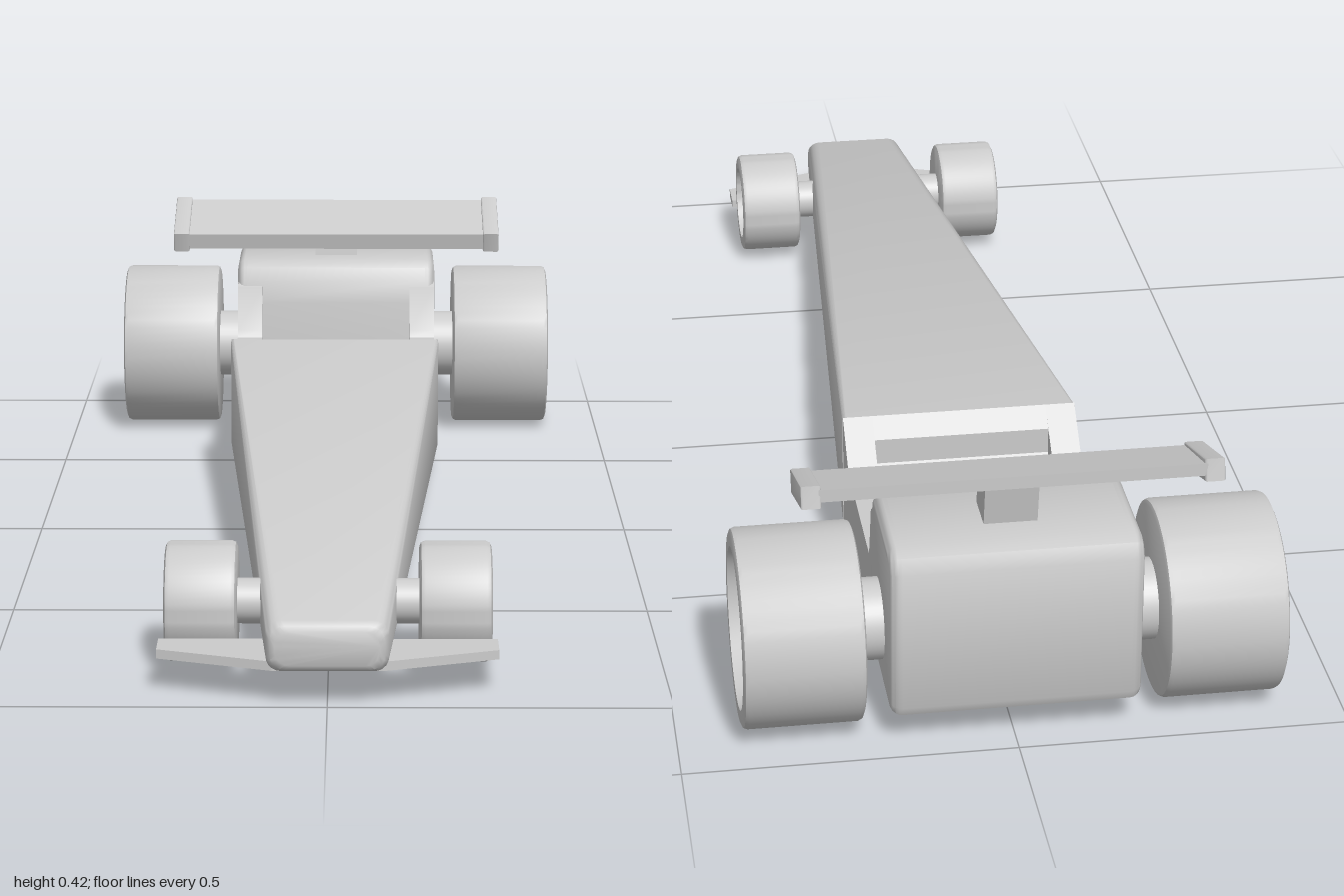
import * as THREE from 'three';
import { toCreasedNormals } from 'three/addons/utils/BufferGeometryUtils.js';

const mat = new THREE.MeshStandardMaterial({ color: 0xcccccc });
const V = (x, y) => new THREE.Vector2(x, y);

function add(parent, name, geometry) {
  const mesh = new THREE.Mesh(geometry, mat);
  mesh.name = name;
  parent.add(mesh);
  return mesh;
}

// Side profile given as [z, y], spread from x0 to x1, with an optional rounded bevel
function sideExtrude(points, x0, x1, bevel = 0) {
  const shape = new THREE.Shape(points.map(([z, y]) => V(z, y)));
  const g = new THREE.ExtrudeGeometry(shape, {
    depth: x1 - x0 - 2 * bevel, bevelEnabled: bevel > 0,
    bevelSize: bevel, bevelThickness: bevel, bevelOffset: -bevel, bevelSegments: 5,
  });
  g.rotateY(-Math.PI / 2);
  g.translate(x1 - bevel, 0, 0);
  return toCreasedNormals(g, 0.65);
}

// Rounded rectangle ring, counter-clockwise seen from the front
function ring(w, y0, y1, r, z) {
  const out = [];
  const corners = [[w - r, y1 - r], [-w + r, y1 - r], [-w + r, y0 + r], [w - r, y0 + r]];
  corners.forEach(([cx, cy], q) => {
    for (let i = 0; i <= 5; i++) {
      const a = (q + i / 5) * Math.PI / 2;
      out.push(cx + r * Math.cos(a), cy + r * Math.sin(a), z);
    }
  });
  return out;
}

// Skin over rings running from front to back
function loft(rings) {
  const n = rings[0].length / 3;
  const index = [];
  for (let i = 0; i < rings.length - 1; i++) {
    for (let j = 0; j < n; j++) {
      const a = i * n + j, b = i * n + (j + 1) % n;
      index.push(a, a + n, b, b, a + n, b + n);
    }
  }
  const last = (rings.length - 1) * n;
  for (let j = 1; j < n - 1; j++) {
    index.push(0, j, j + 1, last, last + j + 1, last + j);
  }
  const g = new THREE.BufferGeometry();
  g.setAttribute('position', new THREE.Float32BufferAttribute(rings.flat(), 3));
  g.setIndex(index);
  return toCreasedNormals(g.toNonIndexed(), 0.65);
}

// Tyre with a dished rim and a hollow hub, its outer face toward +x
function wheelGeometry(R, width, rim, hub) {
  const h = width / 2, b = 0.008;
  const profile = [
    V(0, -h), V(R - b, -h), V(R - b * 0.3, -h + b * 0.3), V(R, -h + b),
    V(R, h - b), V(R - b * 0.3, h - b * 0.3), V(R - b, h),
    V(rim, h), V(rim * 0.93, h - 0.025), V(hub, h - 0.025),
    V(hub, h - 0.05), V(0, h - 0.05),
  ];
  const g = new THREE.LatheGeometry(profile, 64);
  g.rotateZ(-Math.PI / 2);
  return toCreasedNormals(g.toNonIndexed(), 0.65);
}

export function createModel() {
  const car = new THREE.Group();
  car.name = 'raceCar';

  // Long nose, widening and rising toward the cockpit
  const section = (z, inset = 0) => {
    const t = (1 - z) / 1.4;
    return ring(0.088 + 0.1 * t - inset, 0.05 + inset, 0.125 + 0.125 * t - inset,
      0.022 - 0.016 * t, z);
  };
  add(car, 'nose', loft([section(1, 0.012), section(0.996, 0.005), section(0.985), section(-0.4)]));

  // Cockpit tub: sunken floor between two side rails
  add(car, 'cockpitFloor', sideExtrude([
    [-0.4, 0.05], [-0.4, 0.25], [-0.43, 0.222], [-0.43, 0.18],
    [-0.47, 0.145], [-0.725, 0.145], [-0.74, 0.155], [-0.76, 0.19], [-0.76, 0.05],
  ], -0.14, 0.14));
  const rail = [
    [-0.4, 0.05], [-0.4, 0.25], [-0.47, 0.187], [-0.72, 0.187],
    [-0.728, 0.2], [-0.75, 0.28], [-0.77, 0.29], [-0.8, 0.05],
  ];
  add(car, 'cockpitRailLeft', sideExtrude(rail, 0.14, 0.187));
  add(car, 'cockpitRailRight', sideExtrude(rail, -0.187, -0.14));

  // Rounded cover behind the driver
  add(car, 'engineCover', sideExtrude([
    [-0.742, 0.05], [-0.745, 0.25], [-0.753, 0.29], [-0.765, 0.314], [-0.785, 0.326],
    [-0.945, 0.326], [-0.968, 0.317], [-0.98, 0.295],
    [-0.98, 0.07], [-0.973, 0.055], [-0.96, 0.05],
  ], -0.188, 0.188, 0.018));

  // Axles and wheels
  const axles = [
    { name: 'front', R: 0.09, width: 0.107, x: 0.189, y: 0.098, z: 0.785, rim: 0.066, hub: 0.03, shaft: 0.034 },
    { name: 'rear', R: 0.15, width: 0.18, x: 0.314, y: 0.15, z: -0.85, rim: 0.122, hub: 0.046, shaft: 0.062 },
  ];
  for (const a of axles) {
    const shaft = new THREE.CylinderGeometry(a.shaft, a.shaft, a.x * 2, 40);
    shaft.rotateZ(Math.PI / 2);
    add(car, a.name + 'Axle', shaft).position.set(0, a.y, a.z);
    for (const s of [1, -1]) {
      const wheel = add(car, a.name + 'Wheel' + (s > 0 ? 'Left' : 'Right'),
        wheelGeometry(a.R, a.width, a.rim, a.hub));
      wheel.position.set(s * a.x, a.y, a.z);
      if (s < 0) wheel.rotation.y = Math.PI;
    }
  }

  // Front wing, a flat plate with swept leading edges
  const half = [[0.08, 0.985], [0.25, 0.925], [0.25, 0.87]];
  const outline = [...half, ...half.map(([x, z]) => [-x, z]).reverse()];
  const wing = new THREE.ExtrudeGeometry(
    new THREE.Shape(outline.map(([x, z]) => V(x, -z))), { depth: 0.014, bevelEnabled: false });
  wing.rotateX(-Math.PI / 2);
  wing.translate(0, 0.05, 0);
  add(car, 'frontWing', wing);

  // Tilted rear wing with end plates on a raked pylon
  add(car, 'rearWing', sideExtrude([
    [-0.797, 0.345], [-0.79, 0.374], [-0.93, 0.418], [-0.93, 0.398],
  ], -0.285, 0.285));
  const endPlate = [[-0.795, 0.34], [-0.784, 0.376], [-0.927, 0.424], [-0.934, 0.39]];
  add(car, 'rearWingEndLeft', sideExtrude(endPlate, 0.281, 0.311, 0.003));
  add(car, 'rearWingEndRight', sideExtrude(endPlate, -0.311, -0.281, 0.003));
  add(car, 'rearWingPylon', sideExtrude([
    [-0.83, 0.3], [-0.838, 0.368], [-0.912, 0.395], [-0.895, 0.3],
  ], -0.04, 0.04));

  return car;
}
